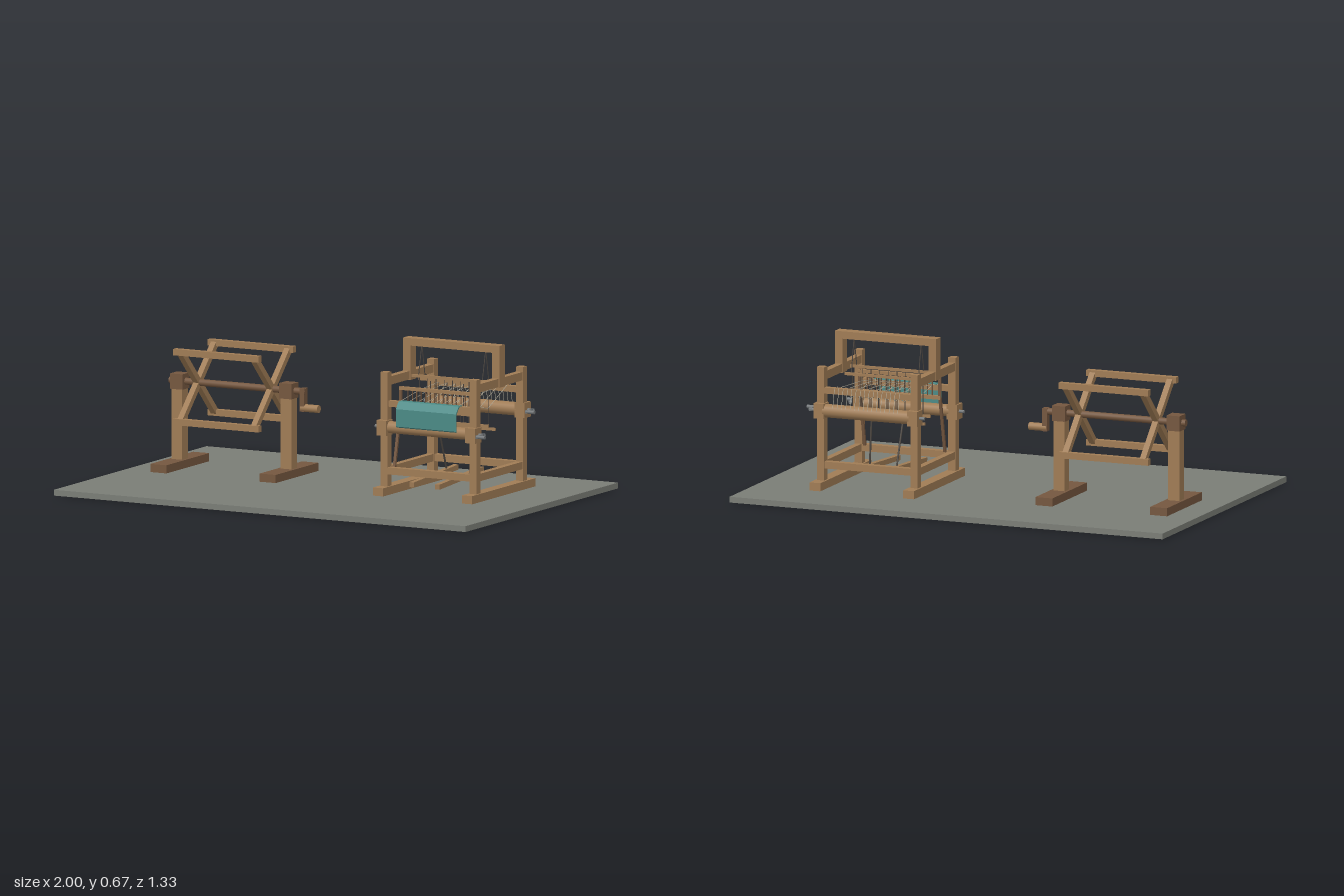
import * as THREE from 'three';

const mat = (name, color) => Object.assign(new THREE.MeshStandardMaterial({ color }), { name });

export function createModel() {
  const wood = mat('oak wood', 0xa07c55);
  const dark = mat('dark wood', 0x75573f);
  const stone = mat('grey floor', 0x7a7d76);
  const metal = mat('iron', 0x74787a);
  const cloth = mat('teal cloth', 0x4b8a86);
  cloth.side = THREE.DoubleSide;
  const cord = mat('cord', 0x4c4640);
  const thread = mat('warp thread', 0xb9b3a0);

  const model = new THREE.Group();
  const UP = new THREE.Vector3(0, 1, 0);
  let target = model;
  const put = (name, geo, m) => {
    const mesh = new THREE.Mesh(geo, m);
    mesh.name = name;
    target.add(mesh);
    return mesh;
  };
  const group = (name) => {
    target = new THREE.Group();
    target.name = name;
    model.add(target);
  };
  // Box from its centre and size
  const box = (name, m, x, y, z, w, h, d) =>
    put(name, new THREE.BoxGeometry(w, h, d), m).position.set(x, y, z);
  // Place a geometry that runs along y between two points
  const span = (name, m, a, b, make) => {
    const p = new THREE.Vector3(...a), q = new THREE.Vector3(...b);
    const dir = q.clone().sub(p);
    const mesh = put(name, make(dir.length()), m);
    mesh.position.copy(p).add(q).multiplyScalar(0.5);
    mesh.quaternion.setFromUnitVectors(UP, dir.normalize());
  };
  const beam = (name, m, a, b, w, d) => span(name, m, a, b, (l) => new THREE.BoxGeometry(w, l, d));
  const rod = (name, m, a, b, r, n = 16) =>
    span(name, m, a, b, (l) => new THREE.CylinderGeometry(r, r, l, n));

  // Floor slab
  box('floor', stone, 0, 0.0125, 0, 2, 0.025, 1.333);

  // Warping reel
  group('warpingReel');
  const rz = -0.133, ry = 0.395;
  for (const x of [-0.833, -0.303]) {
    box('reelFoot', dark, x, 0.0425, rz, 0.078, 0.035, 0.373);
    box('reelPost', wood, x, 0.21, rz, 0.052, 0.31, 0.05);
    box('reelBearing', dark, x, 0.395, rz, 0.06, 0.066, 0.062);
  }
  rod('reelShaft', dark, [-0.88, ry, rz], [-0.22, ry, rz], 0.015);
  for (const x of [-0.745, -0.388]) {
    for (const s of [1, -1]) {
      beam('reelArm', wood, [x, ry - 0.148, rz - s * 0.148], [x, ry + 0.148, rz + s * 0.148], 0.026, 0.026);
    }
  }
  for (const sy of [1, -1]) for (const sz of [1, -1]) {
    box('reelRail', wood, -0.567, ry + sy * 0.15, rz + sz * 0.15, 0.415, 0.027, 0.027);
  }
  box('reelCrankArm', dark, -0.232, 0.36, rz, 0.022, 0.1, 0.03);
  rod('reelHandle', wood, [-0.24, 0.325, rz], [-0.157, 0.325, rz], 0.017);

  // Loom frame
  group('loomFrame');
  const cx = 0.5, zf = 0.075, zb = -0.332, zc = -0.13;
  for (const s of [-1, 1]) {
    const x = cx + s * 0.216;
    box('loomFoot', wood, x, 0.0425, -0.133, 0.05, 0.035, 0.552);
    for (const z of [zf, zb]) box('loomPost', wood, x, 0.305, z, 0.034, 0.49, 0.035);
    box('upperSideRail', wood, x, 0.511, -0.129, 0.03, 0.036, 0.44);
    box('lowerSideRail', wood, x, 0.127, -0.129, 0.028, 0.032, 0.44);
    box('castlePost', wood, x, 0.58, zc, 0.036, 0.18, 0.048);
    // Roller bearings on the posts
    box('clothBearing', wood, x, 0.313, 0.087, 0.048, 0.065, 0.057);
    box('warpBearing', wood, x, 0.363, -0.344, 0.048, 0.065, 0.055);
  }
  box('castleBeam', wood, cx, 0.654, zc, 0.466, 0.032, 0.048);
  for (const z of [zf, zb]) box('lowerCrossRail', wood, cx, 0.127, z, 0.41, 0.03, 0.03);
  box('breastBeam', wood, cx, 0.415, 0.07, 0.41, 0.026, 0.026);
  box('backBeam', wood, cx, 0.45, -0.337, 0.41, 0.026, 0.026);

  // Rollers with iron axles and cranks
  group('rollers');
  for (const [name, y, z, r, dz] of [['cloth', 0.315, 0.082, 0.026, 0.055], ['warp', 0.363, -0.345, 0.029, 0.05]]) {
    rod(name + 'Roller', wood, [0.3, y, z], [0.7, y, z], r, 20);
    rod(name + 'Axle', metal, [0.237, y, z], [0.77, y, z], 0.007, 12);
    beam(name + 'CrankArm', metal, [0.763, y, z - 0.006], [0.763, y, z + dz + 0.006], 0.01, 0.014);
    rod(name + 'CrankHandle', metal, [0.76, y, z + dz], [0.8, y, z + dz], 0.008, 12);
  }

  // Woven cloth folded over the breast beam
  group('wovenCloth');
  const fold = new THREE.Shape();
  [[0.058, 0.43], [0.09, 0.43], [0.114, 0.4], [0.114, 0.325], [0.108, 0.32], [0.108, 0.398],
    [0.087, 0.424], [0.058, 0.424]].forEach(([z, y], i) => (i ? fold.lineTo(-z, y) : fold.moveTo(-z, y)));
  const sheet = put('cloth', new THREE.ExtrudeGeometry(fold, { depth: 0.292, bevelEnabled: false }), cloth);
  sheet.rotation.y = Math.PI / 2;
  sheet.position.x = 0.354;

  // Swinging beater with reed
  group('beater');
  for (const x of [0.315, 0.685]) {
    beam('beaterSword', dark, [x, 0.14, 0.056], [x, 0.385, 0.002], 0.012, 0.01);
    beam('beaterUpright', dark, [x, 0.38, 0.002], [x, 0.48, 0.002], 0.012, 0.01);
  }
  box('beaterCap', wood, cx, 0.472, 0, 0.38, 0.014, 0.016);
  box('beaterSill', wood, cx, 0.385, 0, 0.38, 0.016, 0.018);
  for (let i = 0; i < 15; i++) box('reedDent', dark, 0.35 + i * 0.0214, 0.428, 0, 0.003, 0.08, 0.006);

  // Two heddle shafts hung on cords, and the treadles that pull them
  group('heddleShafts');
  [[-0.1, 0.512, 0.438], [-0.16, 0.49, 0.562]].forEach(([z, top, tx], k) => {
    const low = top - 0.19;
    box('shaftTopBar', wood, cx, top, z, 0.37, 0.012, 0.01);
    box('shaftLowBar', wood, cx, low, z, 0.37, 0.012, 0.01);
    for (let i = k; i < 16; i += 2) rod('heddle', cord, [0.35 + i * 0.02, low, z], [0.35 + i * 0.02, top, z], 0.0016, 5);
    for (const x of [0.345, 0.655]) rod('hangingCord', cord, [x, top, z], [x, 0.645, zc], 0.002, 6);
    rod('treadleCord', cord, [tx, low, z], [tx, 0.108, -0.178], 0.004, 6);
    beam('treadle', wood, [tx, 0.083, 0.126], [tx, 0.106, -0.262], 0.022, 0.022);
  });

  // Warp threads opening into a shed
  group('warp');
  for (let i = 0; i < 16; i++) {
    const x = 0.35 + i * 0.02;
    const z = i % 2 ? -0.16 : -0.1, y = i % 2 ? 0.388 : 0.452;
    rod('warpBack', thread, [x, 0.465, -0.325], [x, y, z], 0.0012, 5);
    rod('warpFront', thread, [x, y, z], [x, 0.428, 0.06], 0.0012, 5);
    rod('warpDrop', thread, [x, 0.465, -0.352], [x, 0.38, -0.372], 0.0012, 5);
  }
  return model;
}
